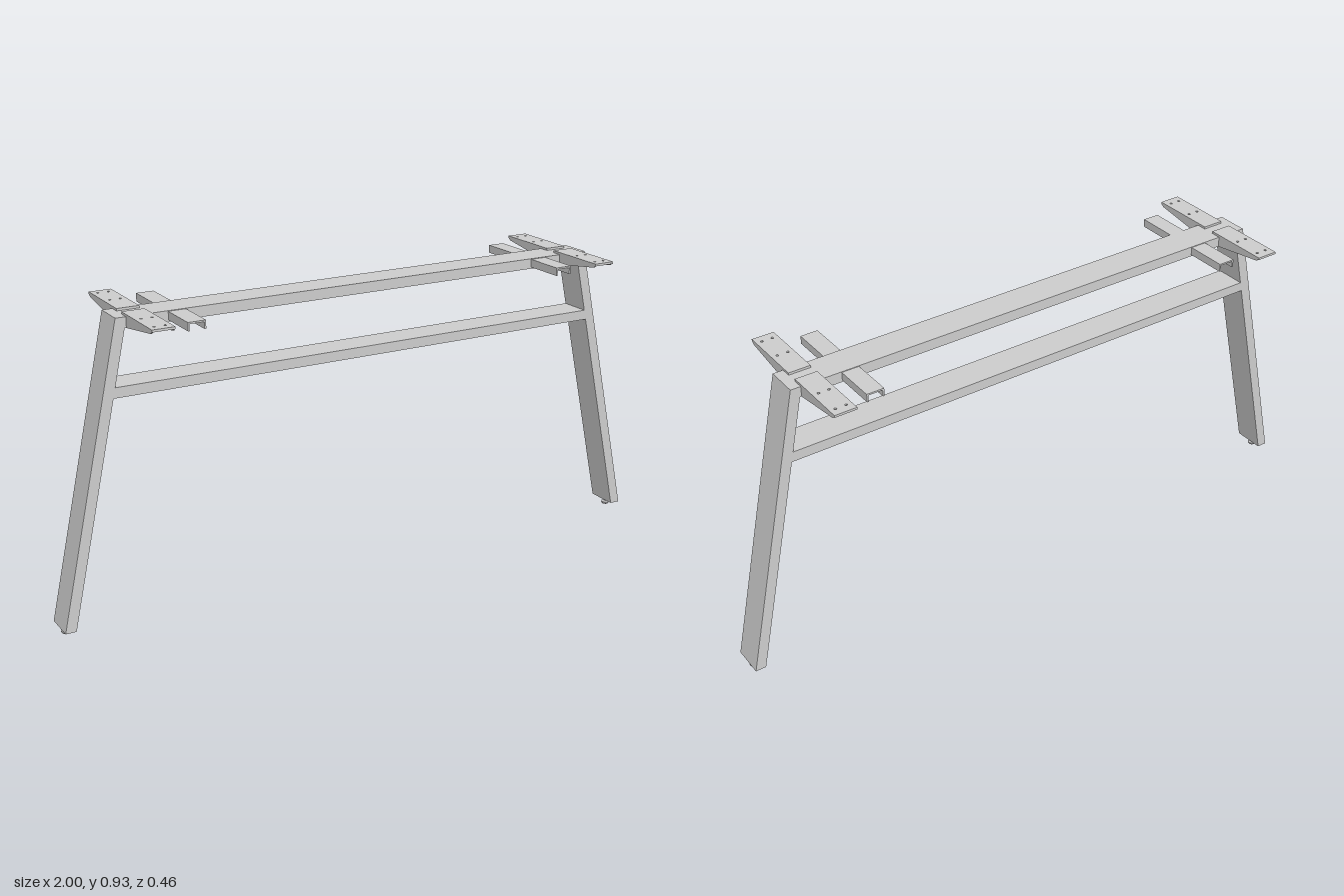
import * as THREE from 'three';

const TOP = 0.925, BASE = 0.02, DEPTH = 0.1, WIDTH = 0.033;
const SLOPE = 0.2 / (TOP - BASE);
const outerX = (y) => 0.8 + (TOP - y) * SLOPE;
const innerX = (y) => outerX(y) - WIDTH;

const material = new THREE.MeshStandardMaterial({ color: 0xcccccc, side: THREE.DoubleSide });

function part(parent, name, geometry, x = 0, y = 0, z = 0) {
  const mesh = new THREE.Mesh(geometry, material);
  mesh.name = name;
  mesh.position.set(x, y, z);
  parent.add(mesh);
  return mesh;
}

function shapeOf(points) {
  return new THREE.Shape(points.map(([a, b]) => new THREE.Vector2(a, b)));
}

function extrude(shape, depth, curveSegments = 10) {
  return new THREE.ExtrudeGeometry(shape, { depth, bevelEnabled: false, curveSegments });
}

// Front outline (x, y) extruded across the frame depth
function frontPrism(points) {
  return extrude(shapeOf(points), DEPTH).translate(0, 0, -DEPTH / 2);
}

// Side outline (z, y) extruded along x, centred on x = 0
function sidePrism(points, thickness) {
  return extrude(shapeOf(points), thickness).rotateY(-Math.PI / 2).translate(thickness / 2, 0, 0);
}

// Horizontal rail whose ends follow the slope of the legs
function rail(parent, name, y0, y1) {
  part(parent, name, frontPrism([
    [-innerX(y0), y0], [innerX(y0), y0], [innerX(y1), y1], [-innerX(y1), y1],
  ]));
}

// Sloping leg with a levelling foot; side is +1 or -1
function leg(side) {
  const group = new THREE.Group();
  group.name = side > 0 ? 'leftLeg' : 'rightLeg';
  const outline = [
    [innerX(BASE), BASE], [outerX(BASE), BASE], [outerX(TOP), TOP], [innerX(TOP), TOP],
  ].map(([x, y]) => [side * x, y]);
  part(group, 'legTube', frontPrism(outline));
  const profile = [[0, 0], [0.01, 0], [0.013, 0.004], [0.013, 0.008], [0.005, 0.011], [0.005, BASE]]
    .map(([r, y]) => new THREE.Vector2(r, y));
  const foot = new THREE.LatheGeometry(profile, 20).toNonIndexed();
  foot.computeVertexNormals();
  part(group, 'levellingFoot', foot, side * 0.983);
  return group;
}

// Tapered top bracket: drilled plate with two tapering flanges, reaching towards +z
function wingBracket() {
  const group = new THREE.Group();
  group.name = 'wingBracket';
  const w = 0.068, t = 0.005, top = 0.932;
  const plate = shapeOf([[-w / 2, 0.018], [w / 2, 0.018], [w / 2, 0.232], [-w / 2, 0.232]]);
  for (const z of [0.115, 0.205]) {
    for (const x of [-0.016, 0.016]) {
      plate.holes.push(new THREE.Path().absarc(x, z, 0.004, 0, Math.PI * 2, true));
    }
  }
  part(group, 'plate', extrude(plate, 0.007).rotateX(Math.PI / 2), 0, top, 0);
  const flange = sidePrism([
    [0.05, 0.893], [0.222, 0.919], [0.229, 0.925], [0.05, 0.925],
  ], t);
  for (const s of [-1, 1]) part(group, 'flange', flange, s * (w - t) / 2);
  return group;
}

// Straight channel bracket, open underneath, reaching towards +z
function channelBracket() {
  const group = new THREE.Group();
  group.name = 'channelBracket';
  const w = 0.054, t = 0.005, top = 0.923, bottom = 0.898;
  const h = w / 2, i = h - t;
  const section = shapeOf([
    [-h, bottom], [-i, bottom], [-i, top - t], [i, top - t],
    [i, bottom], [h, bottom], [h, top], [-h, top],
  ]);
  part(group, 'channel', extrude(section, 0.132), 0, 0, 0.05);
  return group;
}

export function createModel() {
  const model = new THREE.Group();
  model.name = 'tableFrame';

  rail(model, 'topRail', 0.893, TOP);
  rail(model, 'lowerRail', 0.697, 0.728);

  for (const side of [-1, 1]) {
    model.add(leg(side));
    // Brackets on the front and back of the top rail
    for (const turn of [0, Math.PI]) {
      const wing = wingBracket();
      wing.position.x = side * 0.735;
      wing.rotation.y = turn;
      const channel = channelBracket();
      channel.position.x = side * 0.617;
      channel.rotation.y = turn;
      model.add(wing, channel);
    }
  }
  return model;
}
